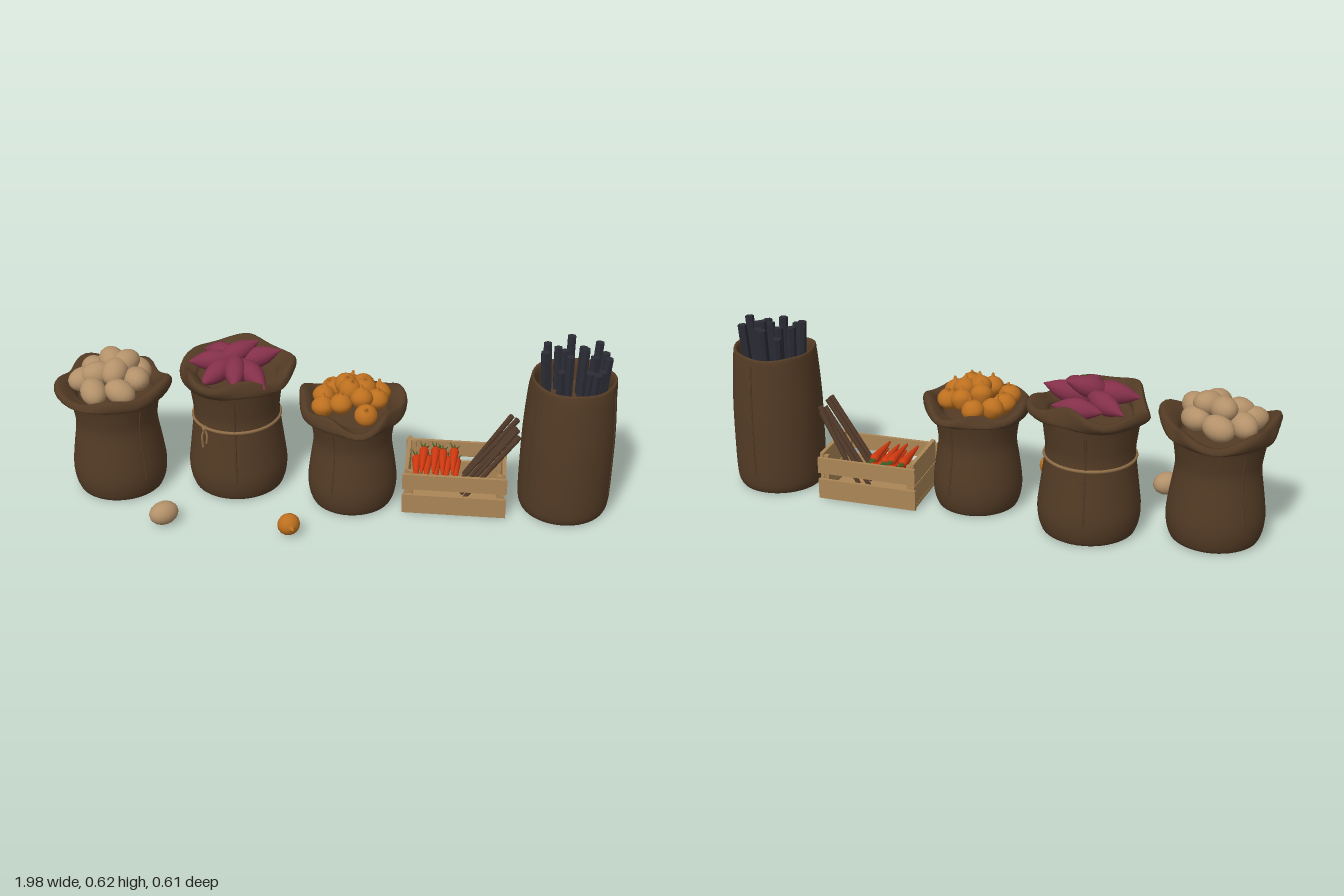
import * as THREE from 'three';
import { mergeVertices } from 'three/addons/utils/BufferGeometryUtils.js';

const mat = (name, color) => { const m = new THREE.MeshStandardMaterial({ color }); m.name = name; return m; };
const V2 = (x, y) => new THREE.Vector2(x, y);
const V3 = (x, y, z) => new THREE.Vector3(x, y, z);

export function createModel() {
  const M = {
    burlap: mat('burlap brown', 0x533b25),
    potato: mat('potato tan', 0xb3916a),
    sweet: mat('sweet potato purple', 0x84304a),
    onion: mat('onion orange', 0xbd701f),
    carrot: mat('carrot red orange', 0xd23a10),
    leaf: mat('leaf green', 0x3f6428),
    wood: mat('crate wood', 0xab8656),
    root: mat('root brown', 0x523a2a),
    charcoal: mat('charcoal', 0x2b2b35),
    rope: mat('rope', 0x8d6c45),
  };
  const root = new THREE.Group();
  let seed = 7;
  const rnd = () => ((seed = (seed * 16807) % 2147483647) / 2147483647);

  function add(parent, name, geo, material, p = [0, 0, 0], r = [0, 0, 0], s = [1, 1, 1]) {
    const m = new THREE.Mesh(geo, material);
    m.name = name;
    m.position.set(...p); m.rotation.set(...r); m.scale.set(...s);
    parent.add(m);
    return m;
  }
  function group(name, x = 0, z = 0) {
    const g = new THREE.Group();
    g.name = name; g.position.set(x, 0, z);
    root.add(g);
    return g;
  }
  const faceted = (g) => { const n = g.toNonIndexed(); n.computeVertexNormals(); return n; };

  // Round body of cloth: a turned profile whose rim waves and sags
  function sack(parent, pts, rimY, wave, phase, seams, seamTop) {
    const curve = new THREE.SplineCurve(pts.map((p) => V2(...p)));
    const profile = curve.getPoints(48).map((p) => V2(Math.max(p.x, 0), Math.max(p.y, 0)));
    profile[0].x = 0; profile[48].x = 0;
    let g = new THREE.LatheGeometry(profile, 48);
    const P = g.attributes.position;
    for (let i = 0; i < P.count; i++) {
      const x = P.getX(i), y = P.getY(i), z = P.getZ(i);
      const a = Math.atan2(z, x), r = Math.hypot(x, z);
      const w = THREE.MathUtils.smoothstep(y, rimY - 0.05, rimY) * THREE.MathUtils.smoothstep(r, 0.1, 0.16);
      const k = 1 + w * wave * (4 * Math.sin(3 * a + phase) + 3 * Math.sin(5 * a + 2 * phase));
      const dy = w * wave * (0.9 * Math.sin(2 * a + phase * 2) + 0.7 * Math.sin(5 * a + phase));
      P.setXYZ(i, x * k, y + dy, z * k);
    }
    g.deleteAttribute('uv'); g.deleteAttribute('normal');
    g = mergeVertices(g, 1e-5);
    g.computeVertexNormals();
    add(parent, 'sackCloth', g, M.burlap);
    // Raised side seams following the profile
    const side = profile.slice(0, 30).filter((p) => p.x > 0.1 && p.y > 0.06 && p.y < seamTop);
    for (const a of seams) {
      const path = new THREE.CatmullRomCurve3(side.map((p) => V3(p.x * Math.cos(a), p.y, p.x * Math.sin(a))));
      add(parent, 'seam', new THREE.TubeGeometry(path, 24, 0.004, 5), M.burlap);
    }
  }
  // Open sack with belly, waist and a rolled cuff; b = belly, w = waist, h = cuff height
  const openSack = (b, w, h) => [
    [0, 0], [b - 0.04, 0], [b - 0.012, 0.015], [b, 0.08], [b - 0.008, 0.16], [w, h * 0.62], [w + 0.004, h * 0.75],
    [w + 0.014, h - 0.05], [w + 0.022, h - 0.035], [w + 0.042, h - 0.035], [w + 0.05, h - 0.012],
    [w + 0.04, h + 0.01], [w + 0.018, h + 0.002], [w - 0.008, h - 0.02], [w - 0.02, h - 0.045], [0.07, h - 0.045], [0, h - 0.045]];

  // Potato sack
  const potatoGeo = new THREE.SphereGeometry(1, 16, 12);
  const potatoes = group('potatoSack', -0.79, -0.025);
  sack(potatoes, openSack(0.17, 0.147, 0.42), 0.42, 0.018, 0.6, [0.75, -2.3], 0.36);
  [[-0.005, -0.1, 0.44], [-0.08, -0.05, 0.44], [0.08, -0.045, 0.445], [-0.01, -0.035, 0.485], [-0.1, 0.03, 0.435],
    [0.095, 0.045, 0.455], [0.02, 0.045, 0.48], [-0.05, 0.03, 0.46], [-0.045, 0.11, 0.43], [0.05, 0.11, 0.435], [0.045, -0.01, 0.49]]
    .forEach(([x, z, y]) => add(potatoes, 'potato', potatoGeo, M.potato, [x, y, z],
      [rnd() * 0.6 - 0.3, rnd() * 3, rnd() * 0.6 - 0.3], [0.058, 0.042, 0.046]));
  add(root, 'loosePotato', potatoGeo, M.potato, [-0.575, 0.042, 0.24], [0, 0.7, 0], [0.054, 0.042, 0.042]);

  // Sweet potato sack, tied with a rope
  const spindle = new THREE.LatheGeometry(new THREE.SplineCurve([[0, -0.095], [0.011, -0.075], [0.031, -0.035], [0.038, 0],
    [0.03, 0.04], [0.01, 0.078], [0, 0.095]].map((p) => V2(...p))).getPoints(16).map((p) => V2(Math.max(p.x, 0), p.y)), 14);
  const sweets = group('sweetPotatoSack', -0.36, -0.09);
  sack(sweets, openSack(0.18, 0.156, 0.47), 0.47, 0.018, 2.1, [1.45, -1.7], 0.41);
  // x, y, z, heading in plan, pitch
  [[-0.055, 0.49, -0.055, 0.6, 0.15], [-0.07, 0.5, 0.025, 3.1, -0.1], [0.075, 0.5, -0.01, -0.15, 0.3], [-0.045, 0.485, 0.075, 2.2, -0.25],
    [0.015, 0.495, 0.085, 1.45, -0.3], [0.075, 0.485, 0.085, 0.9, -0.25], [0.005, 0.52, 0.0, -0.5, 0.35], [0.03, 0.47, -0.08, 0.1, 0],
    [0, 0.46, 0.03, 0.3, 0]].forEach(([x, y, z, a, t]) => {
    const m = add(sweets, 'sweetPotato', spindle, M.sweet, [x, y, z]);
    m.quaternion.setFromUnitVectors(V3(0, 1, 0), V3(Math.cos(a) * Math.cos(t), Math.sin(t), Math.sin(a) * Math.cos(t)));
  });
  add(sweets, 'rope', new THREE.TorusGeometry(0.158, 0.006, 8, 48), M.rope, [0, 0.28, 0], [Math.PI / 2, 0, 0]);
  const kx = -0.095, kz = 0.13;
  add(sweets, 'ropeKnot', new THREE.SphereGeometry(0.011, 10, 8), M.rope, [kx, 0.278, kz]);
  for (const s of [-1, 1]) {
    const end = new THREE.CatmullRomCurve3([V3(kx, 0.278, kz), V3(kx + s * 0.009, 0.25, kz + 0.008), V3(kx + s * 0.006, 0.215 + s * 0.008, kz + 0.012)]);
    add(sweets, 'ropeEnd', new THREE.TubeGeometry(end, 10, 0.004, 6), M.rope);
  }

  // Onion sack
  const onionGeo = new THREE.LatheGeometry(new THREE.SplineCurve([[0, -0.038], [0.02, -0.033], [0.039, -0.008], [0.038, 0.012],
    [0.024, 0.03], [0.008, 0.038], [0.004, 0.05], [0, 0.052]].map((p) => V2(...p))).getPoints(18).map((p) => V2(Math.max(p.x, 0), p.y)), 16);
  const onions = group('onionSack', 0.07, -0.01);
  sack(onions, openSack(0.16, 0.14, 0.39), 0.39, 0.018, 4.0, [1.95, -1.2], 0.33);
  [[-0.02, -0.115, 0.4], [-0.08, -0.08, 0.4], [0.03, -0.08, 0.42], [0.09, -0.05, 0.405], [-0.105, -0.02, 0.4], [-0.03, -0.05, 0.435],
    [-0.01, 0.005, 0.445], [0.085, 0.015, 0.415], [-0.1, 0.06, 0.4], [-0.035, 0.07, 0.42], [0.035, 0.05, 0.435], [0.055, 0.105, 0.4], [0.04, -0.02, 0.44]]
    .forEach(([x, z, y]) => add(onions, 'onion', onionGeo, M.onion, [x, y, z], [rnd() * 1.0 - 0.4, rnd() * 3, rnd() * 1.0 - 0.5]));
  add(root, 'looseOnion', onionGeo, M.onion, [-0.127, 0.043, 0.264], [1.5, 0, -0.45]);

  // Crate: solid ends, two slats on each long side
  const crate = group('crate', 0.441, -0.04);
  const box = (name, w, h, d, x, y, z) => add(crate, name, new THREE.BoxGeometry(w, h, d), M.wood, [x, y, z]);
  box('crateFloor', 0.36, 0.012, 0.24, 0, 0.008, 0);
  for (const s of [-1, 1]) {
    box('lowerSlat', 0.37, 0.075, 0.012, 0, 0.0395, s * 0.121);
    box('upperSlat', 0.37, 0.06, 0.012, 0, 0.131, s * 0.121);
    box('lowerEndBoard', 0.014, 0.086, 0.232, s * 0.172, 0.045, 0);
    box('upperEndBoard', 0.014, 0.086, 0.232, s * 0.172, 0.134, 0);
    for (const t of [-1, 1]) box('cornerPost', 0.016, 0.165, 0.016, s * 0.157, 0.085, t * 0.106);
  }

  // Carrots with leafy tops at the back
  const carrotGeo = new THREE.LatheGeometry([[0, 0], [0.004, 0.003], [0.009, 0.05], [0.014, 0.11], [0.0175, 0.15], [0.013, 0.163], [0, 0.167]]
    .map((p) => V2(...p)), 12);
  const leafGeo = new THREE.ConeGeometry(0.006, 0.055, 5);
  const carrot = (x, y, z, yaw) => {
    const g = new THREE.Group();
    g.name = 'carrot'; g.position.set(x, y, z); g.rotation.set(-Math.PI / 2, 0, yaw);
    add(g, 'carrotRoot', carrotGeo, M.carrot);
    for (const a of [-0.35, 0, 0.35]) add(g, 'carrotLeaf', leafGeo, M.leaf, [-a * 0.03, 0.185, a * 0.01], [a * 0.5, 0, a]);
    crate.add(g);
  };
  for (let i = 0; i < 5; i++) carrot(-0.138 + i * 0.035, 0.123, 0.105, (rnd() - 0.5) * 0.08);
  for (const [x, y] of [[-0.12, 0.152], [-0.078, 0.155], [-0.01, 0.155], [-0.045, 0.148]]) carrot(x, y, 0.095, (rnd() - 0.5) * 0.1);

  // Long roots leaning on the crate end; each row: bottom x, z, top x, y, z
  const stick = (parent, name, a, b, r0, r1, sides, material) => {
    const d = b.clone().sub(a);
    const m = add(parent, name, faceted(new THREE.CylinderGeometry(r1, r0, d.length(), sides)), material);
    m.position.copy(a).addScaledVector(d, 0.5);
    m.quaternion.setFromUnitVectors(V3(0, 1, 0), d.normalize());
  };
  [[0.03, -0.095, 0.19, 0.315, -0.06], [0.02, -0.05, 0.21, 0.32, -0.028], [0.025, -0.01, 0.205, 0.305, 0.005],
    [0.025, 0.04, 0.21, 0.32, 0.045], [0.03, 0.08, 0.215, 0.315, 0.085]]
    .forEach(([x, z, tx, ty, tz]) => stick(crate, 'longRoot', V3(x, 0.04, z), V3(tx, ty, tz), 0.008, 0.011, 8, M.root));

  // Tall charcoal sack
  const coal = group('charcoalSack', 0.83, -0.038);
  sack(coal, [[0, 0], [0.13, 0], [0.155, 0.012], [0.163, 0.06], [0.164, 0.18], [0.162, 0.32], [0.154, 0.45], [0.149, 0.505], [0.145, 0.52],
    [0.137, 0.518], [0.131, 0.495], [0.128, 0.45], [0.12, 0.43], [0.06, 0.43], [0, 0.43]], 0.52, 0.004, 1, [2.5, 0.35, -1.4], 0.5);
  // x, z, top height of each charcoal stick
  [[-0.01, -0.115, 0.62], [-0.055, -0.09, 0.585], [0.085, -0.075, 0.62], [-0.095, -0.05, 0.62], [-0.035, -0.03, 0.605], [0.105, -0.035, 0.6],
    [-0.105, 0.02, 0.62], [0.065, 0.01, 0.605], [0.11, 0.035, 0.615], [-0.05, 0.09, 0.585], [0.05, 0.08, 0.58], [0.07, 0.1, 0.585],
    [0.03, -0.06, 0.605], [0.09, 0.065, 0.58], [0.035, -0.02, 0.62], [-0.02, 0.045, 0.62]].forEach(([x, z, y]) =>
    stick(coal, 'charcoalStick', V3(x * 0.85, 0.38, z * 0.85), V3(x, y, z), 0.016, 0.016, 6, M.charcoal));

  return root;
}
